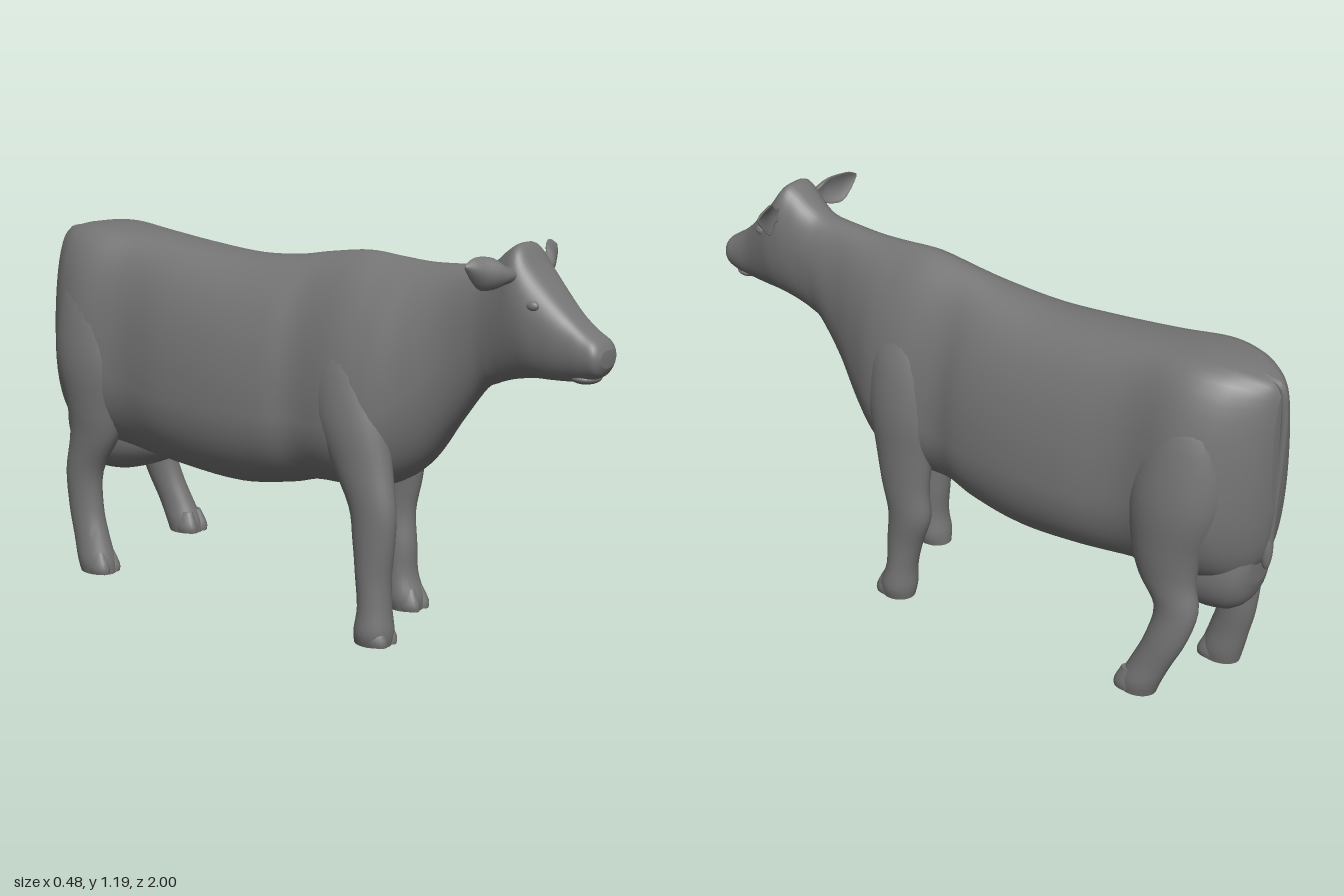
import * as THREE from 'three';
import { toCreasedNormals } from 'three/addons/utils/BufferGeometryUtils.js';

const hide = new THREE.MeshStandardMaterial({ color: 0x757575 });

// Smoothly resample a list of key sections (Catmull-Rom on every number)
function resample(keys, sub) {
  const out = [];
  const at = (i) => keys[Math.max(0, Math.min(keys.length - 1, i))];
  for (let i = 0; i < keys.length - 1; i++) {
    for (let s = 0; s < sub; s++) {
      const t = s / sub;
      out.push(keys[i].map((p1, c) => {
        const p0 = at(i - 1)[c], p2 = at(i + 1)[c], p3 = at(i + 2)[c];
        const m1 = (p2 - p0) / 2, m2 = (p3 - p1) / 2, d = p2 - p1;
        return p1 + t * (m1 + t * (3 * d - 2 * m1 - m2 + t * (m1 + m2 - 2 * d)));
      }));
    }
  }
  out.push(keys[keys.length - 1]);
  return out;
}

// Skin closed rings; ring(key, angle) gives a point
function loft(keys, ring, sub = 4, n = 32) {
  const rows = resample(keys, sub), pos = [], idx = [];
  const point = (r, j) => ring(r, (j / n) * Math.PI * 2);
  for (const r of rows) for (let j = 0; j < n; j++) pos.push(...point(r, j));
  for (let i = 0; i < rows.length - 1; i++) {
    for (let j = 0; j < n; j++) {
      const a = i * n + j, b = i * n + (j + 1) % n;
      idx.push(a, b, b + n, a, b + n, a + n);
    }
  }
  for (const [row, flip] of [[0, true], [rows.length - 1, false]]) {
    const c = [0, 0, 0], centre = pos.length / 3;
    for (let j = 0; j < n; j++) point(rows[row], j).forEach((v, k) => { c[k] += v / n; });
    pos.push(...c);
    for (let j = 0; j < n; j++) {
      const a = row * n + j, b = row * n + (j + 1) % n;
      idx.push(centre, flip ? b : a, flip ? a : b);
    }
  }
  const g = new THREE.BufferGeometry();
  g.setAttribute('position', new THREE.Float32BufferAttribute(pos, 3));
  g.setIndex(idx);
  g.computeVertexNormals();
  return g;
}

const power = (v, e) => Math.sign(v) * Math.abs(v) ** e;

// Upright section: [z, top, widest height, bottom, half width, upper fullness]
const bodyRing = ([z, top, mid, bot, hw, e], a) => {
  const s = Math.sin(a), c = Math.cos(a);
  return [hw * power(c, s > 0 ? e : 0.85), mid + s * (s > 0 ? top - mid : mid - bot), z];
};

// Level section: [y, x, z, radius x, radius z]
const legRing = ([y, x, z, rx, rz], a) => [x + rx * Math.cos(a), y, z - rz * Math.sin(a)];

export function createModel() {
  const model = new THREE.Group();
  const add = (name, geometry) => {
    const m = new THREE.Mesh(geometry, hide);
    m.name = name;
    model.add(m);
    return m;
  };
  const ball = (name, p, r) => {
    const m = add(name, new THREE.SphereGeometry(1, 24, 16));
    m.position.set(...p);
    m.scale.set(...r);
  };
  const midX = -0.009;

  // Rump, barrel, shoulders and neck, running on into the head
  const rump = [
    [-0.985, 1.02, 0.84, 0.66, 0.035, 0.8],
    [-0.965, 1.05, 0.76, 0.52, 0.085, 0.7],
    [-0.92, 1.07, 0.7, 0.44, 0.142, 0.6],
    [-0.85, 1.085, 0.68, 0.41, 0.195, 0.55],
    [-0.75, 1.09, 0.67, 0.4, 0.22, 0.55],
    [-0.6, 1.08, 0.64, 0.385, 0.202, 0.65],
  ];
  const barrel = [
    [-0.42, 1.065, 0.62, 0.37, 0.225, 0.8],
    [-0.22, 1.055, 0.62, 0.36, 0.23, 0.9],
    [-0.05, 1.07, 0.62, 0.385, 0.215, 1.0],
    [0.06, 1.09, 0.62, 0.413, 0.192, 1.1],
    [0.2, 1.11, 0.63, 0.42, 0.206, 1.2],
    [0.31, 1.105, 0.66, 0.44, 0.188, 1.2],
    [0.41, 1.1, 0.73, 0.51, 0.142, 1.05],
    [0.51, 1.105, 0.84, 0.64, 0.1, 0.95],
  ];
  const head = [
    [0.6, 1.112, 0.94, 0.755, 0.085, 0.85],
    [0.65, 1.135, 0.98, 0.785, 0.086, 0.8],
    [0.695, 1.172, 1.0, 0.802, 0.092, 0.68],
    [0.735, 1.187, 1.02, 0.812, 0.098, 0.62],
    [0.78, 1.132, 1.0, 0.82, 0.097, 0.6],
    [0.83, 1.076, 0.97, 0.822, 0.085, 0.6],
    [0.89, 1.015, 0.93, 0.826, 0.07, 0.6],
    [0.94, 0.975, 0.91, 0.833, 0.065, 0.6],
    [0.98, 0.95, 0.905, 0.85, 0.06, 0.62],
    [0.998, 0.925, 0.905, 0.878, 0.038, 0.65],
  ];
  add('body', loft([...rump, ...barrel, ...head], bodyRing, 5, 48)).position.x = midX;
  ball('lowerLip', [midX, 0.843, 0.93], [0.047, 0.018, 0.042]);

  // Eyes, nostrils and cupped, pointed ears
  const earRing = ([x, y, z, ry, rz], a) => {
    const c = Math.cos(a);
    return [x, y + ry * c, z + rz * Math.sin(a) - 0.5 * ry * c * c];
  };
  const ear = loft([
    [0.07, 1.108, 0.74, 0.02, 0.014],
    [0.105, 1.113, 0.74, 0.027, 0.014],
    [0.13, 1.118, 0.732, 0.043, 0.012],
    [0.165, 1.122, 0.715, 0.046, 0.01],
    [0.195, 1.134, 0.7, 0.031, 0.008],
    [0.222, 1.146, 0.685, 0.006, 0.004],
  ], earRing, 4, 20);
  for (const [side, sx] of [['left', 1], ['right', -1]]) {
    ball(side + 'Eye', [midX + sx * 0.082, 1.035, 0.805], [0.012, 0.014, 0.02]);
    const nostril = add(side + 'Nostril', new THREE.TorusGeometry(0.012, 0.005, 8, 16));
    nostril.position.set(midX + sx * 0.036, 0.92, 0.984);
    nostril.rotation.set(-0.35, sx * 0.6, 0);
    const earMesh = add(side + 'Ear', ear);
    earMesh.position.x = midX;
    earMesh.scale.x = sx;
  }

  // Legs, from the sole up into shoulder or thigh
  const legs = {
    frontLeftLeg: [
      [0, 0.148, 0.228, 0.048, 0.053], [0.04, 0.148, 0.225, 0.057, 0.058],
      [0.11, 0.147, 0.212, 0.051, 0.048], [0.2, 0.146, 0.2, 0.049, 0.059],
      [0.3, 0.15, 0.178, 0.049, 0.074], [0.4, 0.152, 0.19, 0.051, 0.083],
      [0.52, 0.147, 0.195, 0.06, 0.1], [0.66, 0.132, 0.2, 0.078, 0.125],
      [0.82, 0.1, 0.21, 0.085, 0.12], [0.95, 0.07, 0.21, 0.05, 0.08],
    ],
    frontRightLeg: [
      [0, -0.166, 0.338, 0.048, 0.058], [0.04, -0.166, 0.341, 0.058, 0.06],
      [0.11, -0.165, 0.342, 0.051, 0.051], [0.2, -0.163, 0.336, 0.05, 0.055],
      [0.3, -0.163, 0.336, 0.049, 0.067], [0.4, -0.162, 0.33, 0.05, 0.077],
      [0.52, -0.154, 0.285, 0.062, 0.1], [0.66, -0.142, 0.235, 0.08, 0.125],
      [0.82, -0.11, 0.21, 0.085, 0.12], [0.95, -0.08, 0.21, 0.05, 0.08],
    ],
    hindLeftLeg: [
      [0.06, 0.19, -0.688, 0.046, 0.057], [0.1, 0.19, -0.698, 0.051, 0.062],
      [0.16, 0.185, -0.725, 0.046, 0.061], [0.25, 0.175, -0.765, 0.046, 0.063],
      [0.35, 0.16, -0.785, 0.048, 0.068], [0.44, 0.155, -0.748, 0.057, 0.09],
      [0.54, 0.148, -0.74, 0.075, 0.112], [0.7, 0.132, -0.755, 0.097, 0.145],
      [0.9, 0.105, -0.77, 0.085, 0.12], [1.0, 0.08, -0.77, 0.05, 0.08],
    ],
    hindRightLeg: [
      [0, -0.165, -0.745, 0.046, 0.062], [0.04, -0.165, -0.752, 0.052, 0.065],
      [0.11, -0.163, -0.772, 0.047, 0.062], [0.2, -0.16, -0.795, 0.046, 0.06],
      [0.32, -0.16, -0.798, 0.049, 0.066], [0.44, -0.158, -0.755, 0.058, 0.09],
      [0.54, -0.15, -0.745, 0.078, 0.112], [0.7, -0.142, -0.755, 0.097, 0.145],
      [0.9, -0.12, -0.77, 0.085, 0.12], [1.0, -0.095, -0.77, 0.05, 0.08],
    ],
  };
  for (const [name, keys] of Object.entries(legs)) {
    add(name, toCreasedNormals(loft(keys, legRing, 4, 28), 1.1));
    // Two toes set into the front of the foot make the cloven hoof
    const [y, x, z] = keys[0];
    for (const s of [-1, 1]) {
      add(name + 'Toe', toCreasedNormals(loft([
        [y + 0.003, x + s * 0.023, z + 0.022, 0.024, 0.042],
        [y + 0.025, x + s * 0.024, z + 0.021, 0.026, 0.042],
        [y + 0.07, x + s * 0.02, z + 0.008, 0.018, 0.034],
      ], legRing, 3, 18), 0.9));
    }
  }

  // Full udder between the hind legs, sloping up into the belly
  add('udder', loft([
    [-0.948, 0.56, 0.48, 0.42, 0.05, 1],
    [-0.925, 0.6, 0.46, 0.35, 0.09, 1],
    [-0.87, 0.6, 0.44, 0.31, 0.115, 1],
    [-0.77, 0.6, 0.43, 0.303, 0.122, 1],
    [-0.67, 0.6, 0.43, 0.325, 0.115, 1],
    [-0.58, 0.56, 0.44, 0.36, 0.095, 1],
    [-0.5, 0.52, 0.46, 0.4, 0.05, 1],
  ], bodyRing, 4, 32)).position.x = midX;

  // Tail lying down the rump, ending in a tuft
  const tailPath = new THREE.CatmullRomCurve3([
    [0, 1.055, -0.93], [-0.005, 1.04, -0.975], [-0.01, 0.96, -0.988],
    [-0.012, 0.8, -0.985], [-0.012, 0.65, -0.975], [-0.012, 0.53, -0.967],
  ].map((p) => new THREE.Vector3(...p)));
  add('tail', new THREE.TubeGeometry(tailPath, 40, 0.012, 10));
  ball('tailTuft', [-0.012, 0.53, -0.962], [0.018, 0.07, 0.018]);

  return model;
}
